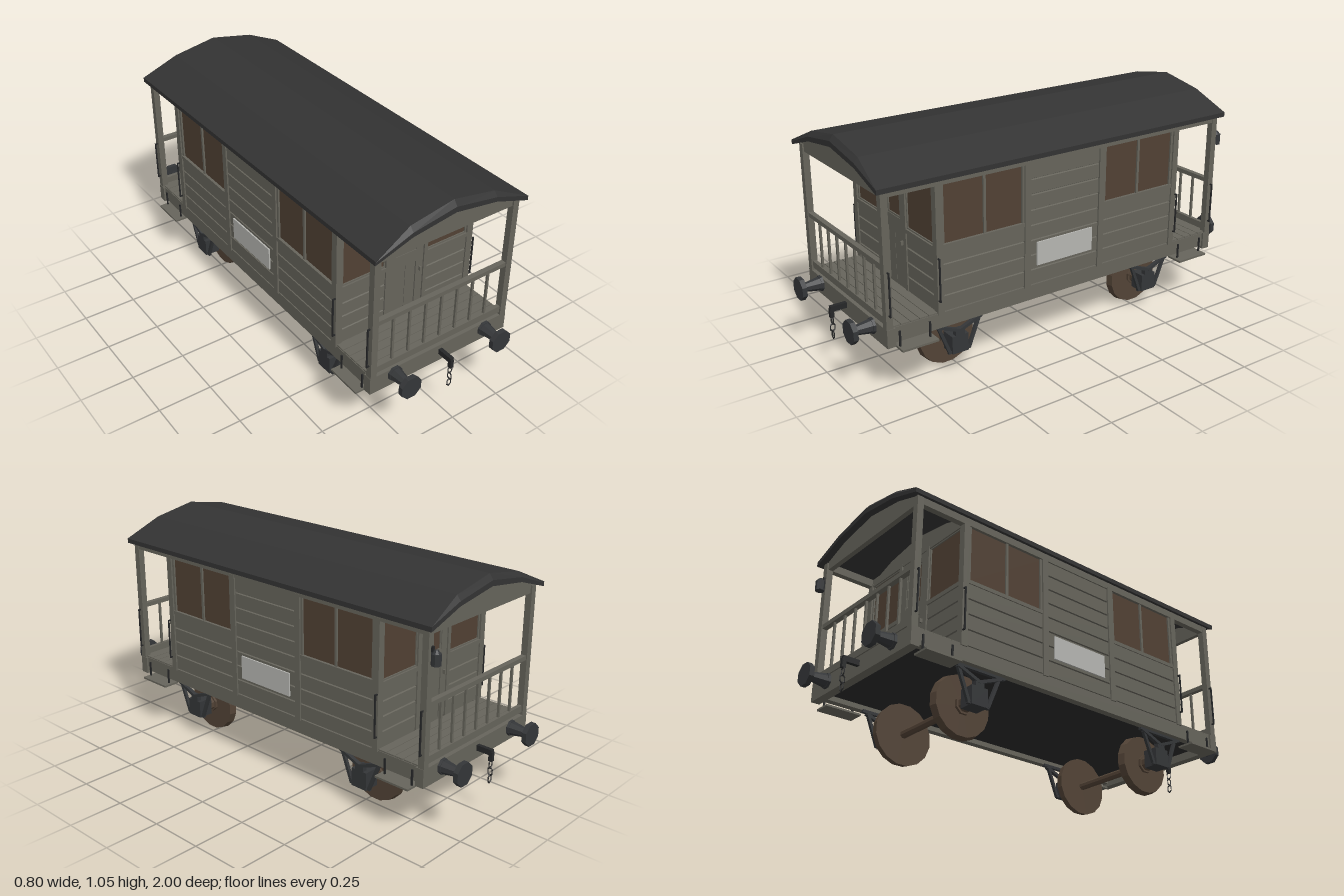
import * as THREE from 'three';

const mat = (name, color) => Object.assign(new THREE.MeshStandardMaterial({ color }), { name });

export function createModel() {
  const body = mat('weatheredGrey', 0x66645b), roofMat = mat('roofCharcoal', 0x333333);
  const iron = mat('darkIron', 0x343638), rail = mat('blackIron', 0x262728);
  const glass = mat('brownGlass', 0x514134), rust = mat('rustBrown', 0x524336);
  const plateMat = mat('paleGrey', 0xb5b5b1), under = mat('undersideBlack', 0x292929);
  const model = new THREE.Group();
  model.name = 'railwayVan';

  const add = (g, name, geo, m) => {
    const mesh = new THREE.Mesh(geo, m);
    mesh.name = name;
    g.add(mesh);
    return mesh;
  };
  // Box given by its limits on each axis
  const box = (g, name, m, x0, x1, y0, y1, z0, z1) => {
    const mesh = add(g, name, new THREE.BoxGeometry(x1 - x0, y1 - y0, z1 - z0), m);
    mesh.position.set((x0 + x1) / 2, (y0 + y1) / 2, (z0 + z1) / 2);
  };
  const flat = (geo) => {
    const g = geo.toNonIndexed();
    g.computeVertexNormals();
    return g;
  };
  // Faceted cylinder along 'x', 'y' or 'z'; r1 is the end on the positive side
  const cyl = (g, name, m, axis, r1, r0, len, sides, x, y, z) => {
    const geo = new THREE.CylinderGeometry(r1, r0, len, sides);
    geo.rotateY(Math.PI / sides);
    if (axis === 'x') geo.rotateZ(-Math.PI / 2);
    if (axis === 'z') geo.rotateX(Math.PI / 2);
    add(g, name, flat(geo), m).position.set(x, y, z);
  };
  // Square bar between two points of a y-z plane
  const strut = (g, name, m, x, w, t, [z0, y0], [z1, y1]) => {
    const mesh = add(g, name, new THREE.BoxGeometry(w, t, Math.hypot(z1 - z0, y1 - y0)), m);
    mesh.position.set(x, (y0 + y1) / 2, (z0 + z1) / 2);
    mesh.rotation.x = -Math.atan2(y1 - y0, z1 - z0);
  };
  const extrude = (pts, depth) => {
    const shape = new THREE.Shape(pts.map(([x, y]) => new THREE.Vector2(x, y)));
    return new THREE.ExtrudeGeometry(shape, { depth, bevelEnabled: false }).translate(0, 0, -depth / 2);
  };
  // Planked wall facing +x, with narrow grooves between boards
  const planks = (g, name, len, y0, y1, n) => {
    const h = (y1 - y0) / n, t = 0.012, pts = [[0, y0], [t, y0]];
    for (let i = 1; i < n; i++) {
      const y = y0 + i * h;
      pts.push([t, y - 0.004], [0.006, y - 0.001], [0.006, y + 0.001], [t, y + 0.004]);
    }
    pts.push([t, y1], [0, y1]);
    return add(g, name, extrude(pts, len), body);
  };
  // Thin raised frame round an opening that faces +z
  const frame = (g, name, x0, x1, y0, y1, w, z0, z1) => {
    for (const x of [x0, x1 - w]) box(g, name, body, x, x + w, y0, y1, z0, z1);
    for (const y of [y0, y1 - w]) box(g, name, body, x0 + w, x1 - w, y, y + w, z0, z1);
  };

  // Roof: a lower band and an upper band with chamfered ends
  const arc = (e, m, c) => [[0.385, e], [0.21, m], [0, c], [-0.21, m], [-0.385, e]];
  const low = arc(0.914, 0.972, 1.003), mid = arc(0.928, 0.993, 1.028), top = arc(0.935, 1.015, 1.053);
  add(model, 'roofLower', extrude([...low].reverse().concat(mid), 1.83), roofMat);
  const upper = extrude([...mid].reverse().concat(top), 1.83), p = upper.attributes.position;
  for (let i = 0; i < p.count; i++) {
    const x = Math.abs(p.getX(i)), y = p.getY(i);
    if ((x < 0.1 && y > 1.04) || (x < 0.3 && x > 0.1 && y > 1.005)) p.setZ(i, p.getZ(i) * 0.98);
  }
  upper.computeVertexNormals();
  add(model, 'roofUpper', upper, roofMat);

  // Cabin core with its top following the roof
  const archTop = (w, y) => [[w, y], [0.21, 0.974], [0, 1.005], [-0.21, 0.974], [-w, y]];
  add(model, 'cabinCore', extrude([[-0.345, 0.32], [0.345, 0.32], ...archTop(0.345, 0.929)], 1.266), body);

  // Floor and dark underside
  box(model, 'floor', body, -0.35, 0.35, 0.3, 0.322, -0.87, 0.87);
  box(model, 'underside', under, -0.335, 0.335, 0.285, 0.3, -0.86, 0.86);

  // One side wall, facing +x
  const buildSide = () => {
    const g = new THREE.Group();
    g.name = 'side';
    box(g, 'soleBar', body, 0.325, 0.358, 0.262, 0.33, -0.87, 0.87);
    box(g, 'eaveBeam', body, 0.335, 0.363, 0.888, 0.924, -0.885, 0.885);
    for (const z of [-0.635, -0.2, 0.2, 0.635])
      box(g, 'wallPost', body, 0.335, 0.364, 0.325, 0.9, z - 0.015, z + 0.015);
    planks(g, 'centrePlanks', 0.37, 0.335, 0.888, 8).position.x = 0.345;
    for (const s of [-1, 1]) {
      planks(g, 'lowerPlanks', 0.405, 0.335, 0.615, 4).position.set(0.345, 0, s * 0.4175);
      const z0 = Math.min(s * 0.215, s * 0.62), z1 = Math.max(s * 0.215, s * 0.62);
      box(g, 'windowGlass', glass, 0.344, 0.349, 0.63, 0.888, z0, z1);
      box(g, 'windowSill', body, 0.345, 0.362, 0.615, 0.632, z0, z1);
      for (const z of [s * 0.22, s * 0.413, s * 0.614])
        box(g, 'windowBar', body, 0.345, 0.357, 0.63, 0.89, z - 0.006, z + 0.006);
    }
    box(g, 'signPlate', plateMat, 0.357, 0.364, 0.42, 0.528, -0.15, 0.15);
    return g;
  };

  // Cabin end wall, facing +z
  const buildCabinEnd = (g) => {
    for (const s of [-1, 1]) {
      const w = planks(g, 'endPlanks', 0.235, 0.335, 0.605, 4);
      w.rotation.y = -Math.PI / 2;
      w.position.set(s * 0.2175, 0, 0.632);
      const x0 = Math.min(s * 0.108, s * 0.332), x1 = Math.max(s * 0.108, s * 0.332);
      box(g, 'endWindowGlass', glass, x0, x1, 0.63, 0.888, 0.631, 0.636);
      box(g, 'endWindowSill', body, x0, x1, 0.605, 0.624, 0.632, 0.65);
      frame(g, 'endWindowFrame', x0, x1, 0.622, 0.888, 0.008, 0.632, 0.642);
      box(g, 'cabinCornerPost', body, s * 0.346 - 0.014, s * 0.346 + 0.014, 0.33, 0.9, 0.632, 0.65);
      box(g, 'doorPost', body, s * 0.102 - 0.009, s * 0.102 + 0.009, 0.33, 0.9, 0.632, 0.65);
      box(g, 'doorStile', body, s * 0.0735 - 0.0185, s * 0.0735 + 0.0185, 0.34, 0.885, 0.632, 0.644);
      box(g, 'doorLeafBoard', body, s * 0.027 - 0.026, s * 0.027 + 0.026, 0.34, 0.6, 0.632, 0.64);
    }
    box(g, 'endHeader', body, -0.345, 0.345, 0.885, 0.924, 0.632, 0.648);
    box(g, 'doorRail', body, -0.055, 0.055, 0.59, 0.65, 0.632, 0.644);
    box(g, 'doorTopRail', body, -0.055, 0.055, 0.845, 0.885, 0.632, 0.644);
    box(g, 'doorGlass', glass, -0.055, 0.055, 0.65, 0.845, 0.631, 0.636);
    frame(g, 'doorWindowFrame', -0.057, 0.057, 0.649, 0.846, 0.009, 0.632, 0.641);
    box(g, 'doorHandle', body, 0.07, 0.077, 0.537, 0.556, 0.644, 0.656);
  };

  // Wheels, axle, axle boxes and hangers at one end
  const buildRunningGear = (g) => {
    const z = 0.53, outer = 0.134, inner = 0.14;
    cyl(g, 'axle', rust, 'x', 0.018, 0.018, 0.54, 8, 0, 0.141, z);
    for (const s of [-1, 1]) {
      cyl(g, 'wheel', rust, 'x', s > 0 ? outer : inner, s > 0 ? inner : outer, 0.035, 16, s * 0.208, 0.141, z);
      cyl(g, 'wheelCollar', rust, 'x', 0.042, 0.042, 0.012, 8, s * 0.231, 0.141, z);
      cyl(g, 'wheelHub', rust, 'x', 0.033, 0.033, 0.04, 8, s * 0.246, 0.141, z);
      box(g, 'axleBox', iron, s * 0.3 - 0.036, s * 0.3 + 0.036, 0.105, 0.187, z - 0.04, z + 0.04);
      box(g, 'springMount', iron, s * 0.324 - 0.012, s * 0.324 + 0.012, 0.185, 0.215, z - 0.022, z + 0.022);
      strut(g, 'hangerTop', iron, s * 0.327, 0.016, 0.014, [z - 0.13, 0.258], [z + 0.13, 0.258]);
      strut(g, 'hangerTie', iron, s * 0.322, 0.014, 0.012, [z - 0.055, 0.112], [z + 0.055, 0.112]);
      for (const d of [-1, 1]) {
        strut(g, 'hangerLeg', iron, s * 0.324, 0.014, 0.014, [z + d * 0.105, 0.256], [z + d * 0.048, 0.112]);
        strut(g, 'springLeaf', iron, s * 0.328, 0.018, 0.014, [z + d * 0.11, 0.252], [z, 0.208]);
      }
    }
  };

  // One whole end with its open veranda, facing +z
  const buildEnd = () => {
    const g = new THREE.Group();
    g.name = 'end';
    buildCabinEnd(g);
    buildRunningGear(g);
    for (let i = 0; i < 5; i++)
      box(g, 'floorBoard', body, -0.355, 0.355, 0.32, 0.336, 0.65 + i * 0.043, 0.69 + i * 0.043);
    box(g, 'headstock', body, -0.367, 0.367, 0.248, 0.33, 0.85, 0.89);
    const arch = add(g, 'endArch', extrude([[-0.363, 0.888], [0.363, 0.888], ...archTop(0.363, 0.923)], 0.022), body);
    arch.position.z = 0.872;
    // Railing
    box(g, 'topRail', body, -0.34, 0.34, 0.588, 0.608, 0.862, 0.886);
    box(g, 'bottomRail', body, -0.34, 0.34, 0.342, 0.374, 0.865, 0.883);
    for (let i = -3; i <= 3; i++)
      box(g, 'baluster', body, i * 0.083 - 0.005, i * 0.083 + 0.005, 0.36, 0.595, 0.869, 0.879);
    for (const s of [-1, 1]) {
      box(g, 'cornerPost', body, s * 0.35 - 0.015, s * 0.35 + 0.015, 0.325, 0.922, 0.86, 0.89);
      // Grab handles
      for (const z of [0.875, 0.645]) {
        box(g, 'grabHandle', rail, s * 0.376 - 0.003, s * 0.376 + 0.003, 0.388, 0.582, z - 0.003, z + 0.003);
        for (const y of [0.391, 0.579])
          box(g, 'grabBracket', rail, s * 0.368 - 0.009, s * 0.368 + 0.009, y - 0.003, y + 0.003, z - 0.003, z + 0.003);
      }
      // Step with its two hangers
      box(g, 'step', body, s * 0.36 - 0.04, s * 0.36 + 0.04, 0.231, 0.24, 0.67, 0.84);
      for (const z of [0.69, 0.83])
        box(g, 'stepHanger', rail, s * 0.361 - 0.003, s * 0.361 + 0.003, 0.236, 0.31, z - 0.004, z + 0.004);
      // Bumper
      cyl(g, 'bumperBase', iron, 'z', 0.034, 0.036, 0.012, 8, s * 0.243, 0.303, 0.895);
      cyl(g, 'bumperShank', iron, 'z', 0.019, 0.032, 0.08, 8, s * 0.243, 0.303, 0.937);
      cyl(g, 'bumperHead', iron, 'z', 0.053, 0.053, 0.022, 8, s * 0.243, 0.303, 0.989);
    }
    // Draw hook and chain
    box(g, 'drawHook', rail, -0.009, 0.009, 0.285, 0.31, 0.885, 0.965);
    box(g, 'hookTip', rail, -0.008, 0.008, 0.258, 0.3, 0.95, 0.968);
    [0.243, 0.209, 0.175].forEach((y, i) => {
      const geo = new THREE.TorusGeometry(0.012, 0.003, 4, 6).rotateZ(Math.PI / 6).scale(1, 1.6, 1);
      const link = add(g, 'chainLink', flat(geo), rail);
      link.position.set(0, y, 0.958);
      link.rotation.y = i % 2 ? Math.PI / 2 : 0;
    });
    return g;
  };

  for (const angle of [0, Math.PI]) {
    const side = buildSide(), end = buildEnd();
    side.rotation.y = end.rotation.y = angle;
    model.add(side, end);
  }

  // Tail lamp on one rear post
  const lamp = new THREE.Group();
  lamp.name = 'tailLamp';
  box(lamp, 'lampBracket', rail, 0.34, 0.35, 0.79, 0.845, -0.9, -0.888);
  cyl(lamp, 'lampBody', iron, 'y', 0.021, 0.021, 0.048, 8, 0.345, 0.796, -0.912);
  cyl(lamp, 'lampCap', iron, 'y', 0.008, 0.018, 0.014, 8, 0.345, 0.827, -0.912);
  model.add(lamp);
  return model;
}
